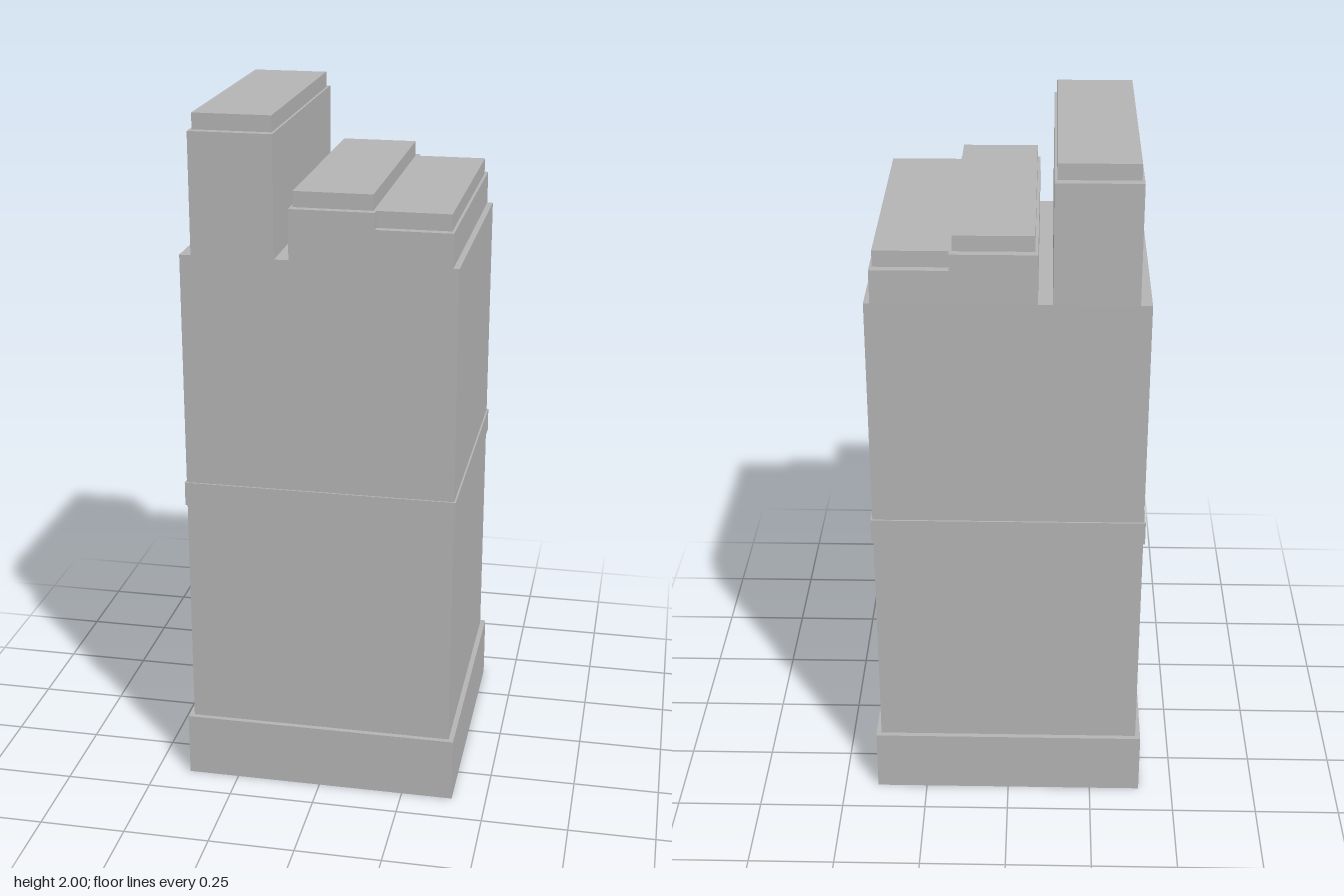
import * as THREE from 'three';

const stone = new THREE.MeshStandardMaterial({ color: 0xb3b3b3 });
stone.name = 'grey stone';

// Box given by its x range, y range and full depth, centred on z = 0
function block(name, x0, x1, y0, y1, depth) {
  const geometry = new THREE.BoxGeometry(x1 - x0, y1 - y0, depth);
  geometry.translate((x0 + x1) / 2, (y0 + y1) / 2, 0);
  const mesh = new THREE.Mesh(geometry, stone);
  mesh.name = name;
  return mesh;
}

export function createModel() {
  const group = new THREE.Group();
  group.name = 'towerBlock';

  // Plinth and the band round the middle
  group.add(block('plinth', -0.4, 0.4, 0, 0.19, 0.8));
  group.add(block('middleBand', -0.39, 0.39, 0.875, 0.945, 0.78));

  // Main shaft with its stepped skyline, extruded front to back
  const outline = [
    [-0.385, 0.19], [0.385, 0.19], [0.385, 1.615], [0.368, 1.615],
    [0.368, 1.71], [0.156, 1.71], [0.156, 1.756], [-0.08, 1.756],
    [-0.08, 1.615], [-0.12, 1.615], [-0.12, 1.955], [-0.353, 1.955],
    [-0.353, 1.615], [-0.385, 1.615],
  ];
  const shape = new THREE.Shape(outline.map(([x, y]) => new THREE.Vector2(x, y)));
  const geometry = new THREE.ExtrudeGeometry(shape, { depth: 0.77, bevelEnabled: false });
  geometry.translate(0, 0, -0.385);
  const shaft = new THREE.Mesh(geometry, stone);
  shaft.name = 'steppedShaft';
  group.add(shaft);

  // Roof caps, set in from the shaft edges
  group.add(block('tallRoofCap', -0.346, -0.127, 1.955, 2, 0.722));
  group.add(block('middleRoofCap', -0.072, 0.148, 1.756, 1.8, 0.722));
  group.add(block('lowRoofCap', 0.156, 0.36, 1.71, 1.756, 0.722));

  return group;
}
